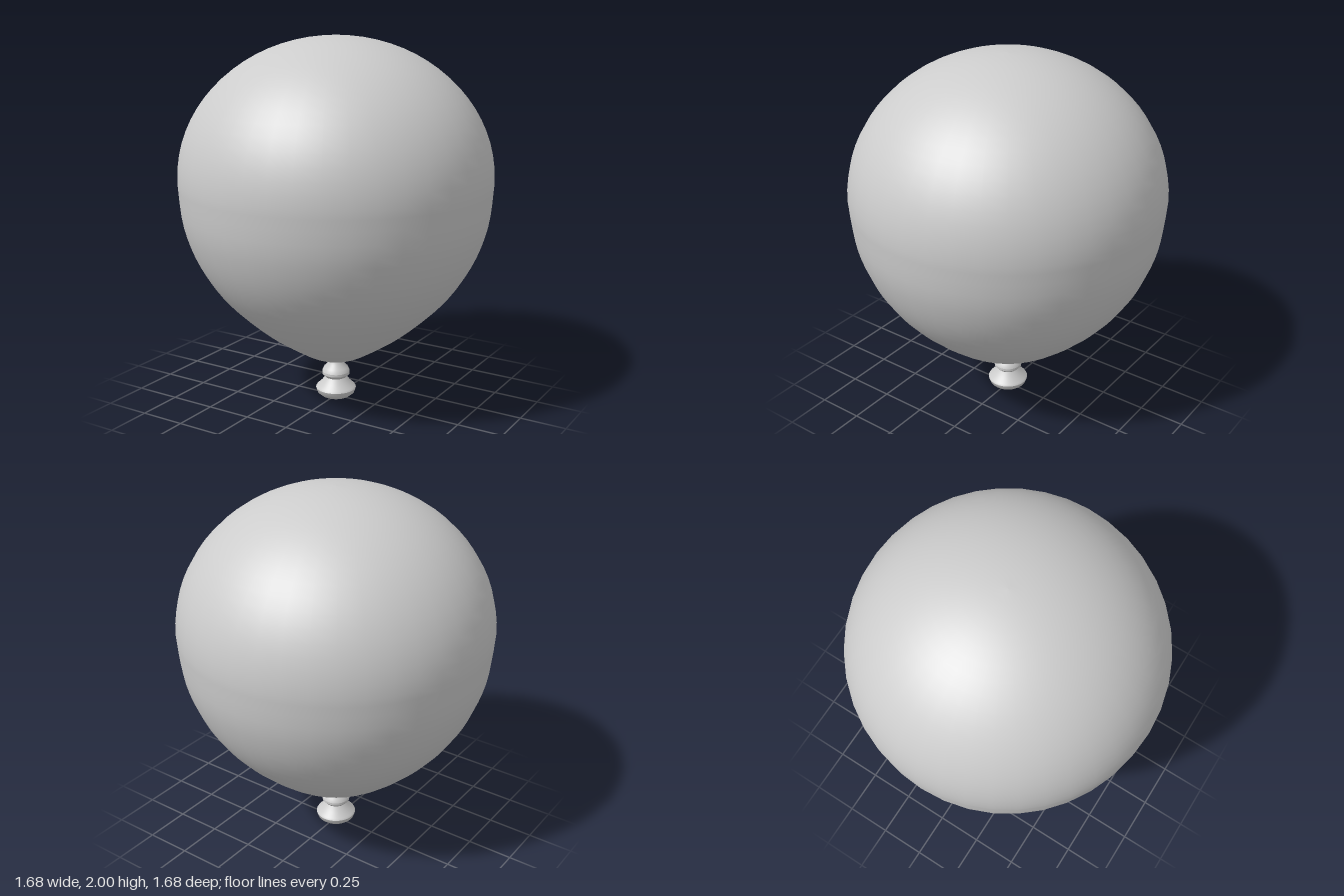
import * as THREE from 'three';

const SEGMENTS = 40;
const points = (list) => list.map(([r, y]) => new THREE.Vector2(r, y));

export function createModel() {
  const group = new THREE.Group();
  group.name = 'balloon';
  const rubber = new THREE.MeshStandardMaterial({ color: 0xcccccc });
  rubber.name = 'greyRubber';

  const addLathe = (name, profile, parent) => {
    const mesh = new THREE.Mesh(new THREE.LatheGeometry(profile, SEGMENTS), rubber);
    mesh.name = name;
    parent.add(mesh);
  };

  // Inflated body: tapering lower curve, then an elliptical dome
  const lower = new THREE.SplineCurve(points([
    [0.035, 0.217], [0.12, 0.245], [0.21, 0.292], [0.4, 0.42], [0.6, 0.605],
    [0.735, 0.8], [0.815, 1.02], [0.84, 1.25],
  ])).getPoints(28);
  const dome = [];
  for (let i = 1; i <= 18; i++) {
    const a = (i / 18) * Math.PI / 2;
    dome.push(new THREE.Vector2(i === 18 ? 0 : 0.84 * Math.cos(a), 1.25 + 0.75 * Math.sin(a)));
  }
  addLathe('body', [...lower, ...dome], group);

  // Tied neck and flared lip, in separate bands so the ridges stay crisp
  const knot = new THREE.Group();
  knot.name = 'knot';
  group.add(knot);
  addLathe('lipUnderside', points([[0, 0.005], [0.05, 0.006], [0.08, 0.013], [0.103, 0.032], [0.112, 0.058]]), knot);
  addLathe('lipFlare', points([[0.112, 0.058], [0.106, 0.068], [0.08, 0.092], [0.06, 0.122]]), knot);
  addLathe('ringUnderside', points([[0.06, 0.122], [0.077, 0.14]]), knot);
  addLathe('ringEdge', points([[0.077, 0.14], [0.077, 0.154]]), knot);
  addLathe('neck', points([[0.077, 0.154], [0.068, 0.176], [0.045, 0.198], [0.037, 0.225]]), knot);

  return group;
}
